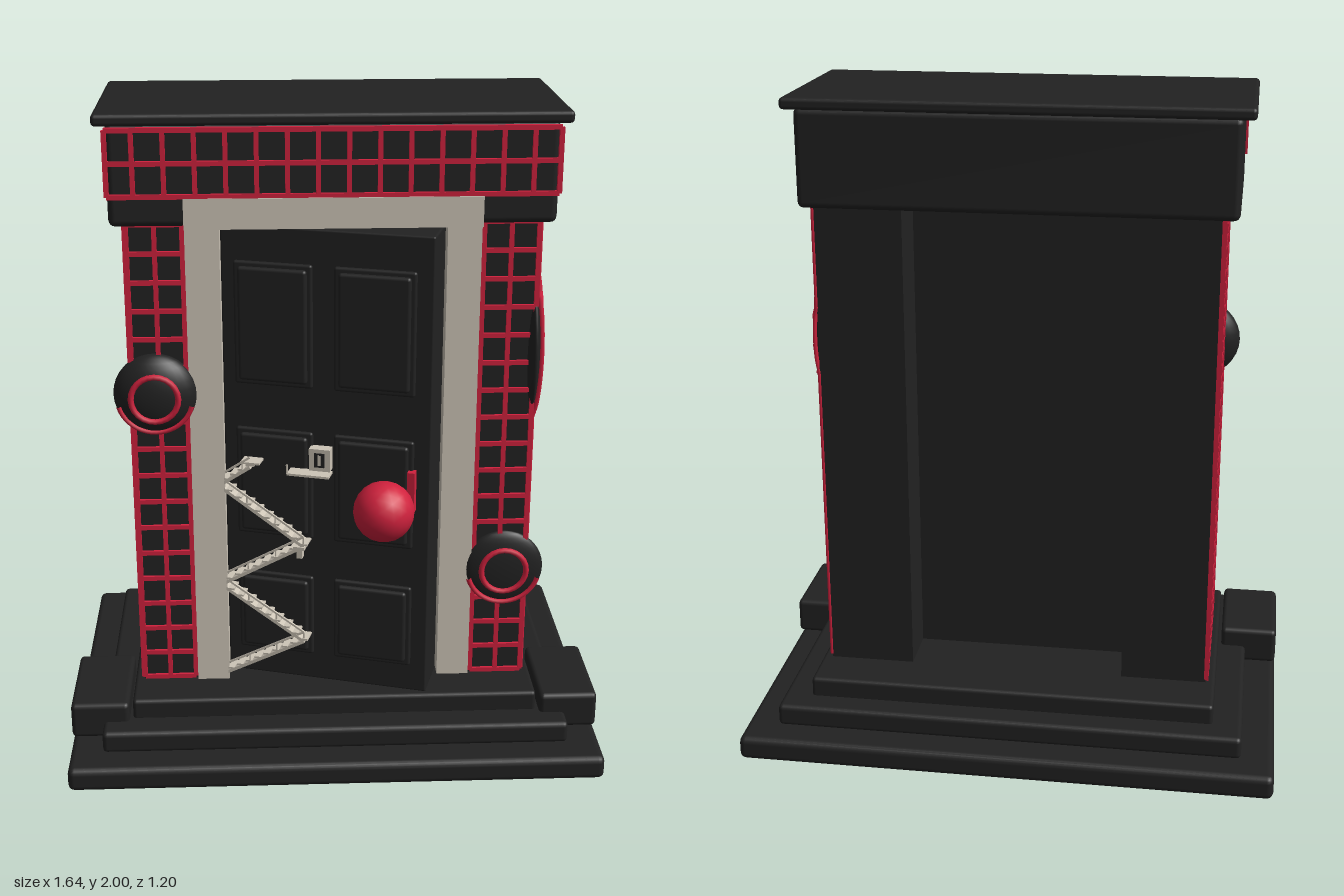
import * as THREE from 'three';
import { RoundedBoxGeometry } from 'three/addons/geometries/RoundedBoxGeometry.js';

const black = new THREE.MeshStandardMaterial({ color: 0x222222 });
black.name = 'black stone';
const red = new THREE.MeshStandardMaterial({ color: 0xd0213d });
red.name = 'red mortar';
const cream = new THREE.MeshStandardMaterial({ color: 0xcdc5b7 });
cream.name = 'cream trim';

function add(parent, name, geometry, material, x = 0, y = 0, z = 0) {
  const mesh = new THREE.Mesh(geometry, material);
  mesh.name = name;
  mesh.position.set(x, y, z);
  parent.add(mesh);
  return mesh;
}

// Box given by its limits on each axis; bevel rounds the edges
function block(parent, name, material, [x0, x1], [y0, y1], [z0, z1], bevel = 0) {
  const size = [x1 - x0, y1 - y0, z1 - z0];
  const geometry = bevel ? new RoundedBoxGeometry(...size, 2, bevel) : new THREE.BoxGeometry(...size);
  return add(parent, name, geometry, material, (x0 + x1) / 2, (y0 + y1) / 2, (z0 + z1) / 2);
}

// Thin bar between two points in a plane of constant z
function bar(parent, name, material, a, b, z, thick, depth) {
  const dx = b[0] - a[0], dy = b[1] - a[1];
  const mesh = add(parent, name, new THREE.BoxGeometry(Math.hypot(dx, dy), thick, depth), material,
    (a[0] + b[0]) / 2, (a[1] + b[1]) / 2, z);
  mesh.rotation.z = Math.atan2(dy, dx);
}

const spread = (from, to, n) => Array.from({ length: n + 1 }, (_, i) => from + (to - from) * i / n);
const LINE = 0.014;
const rows = spread(0.21, 1.68, 17);
const columns = spread(-0.265, 0.255, 6);

// Flat mortar grid facing +z
function flatGrid(parent, name, xs, ys, z) {
  const g = new THREE.Group();
  g.name = name;
  const x0 = xs[0], x1 = xs[xs.length - 1], y0 = ys[0], y1 = ys[ys.length - 1];
  xs.forEach(x => bar(g, 'mortarUpright', red, [x, y0], [x, y1], z, LINE, LINE));
  ys.forEach(y => bar(g, 'mortarCourse', red, [x0, y], [x1, y], z, LINE, LINE));
  parent.add(g);
  return g;
}

// Mortar grid on the right wall, pushed outward around a round bulge
const EYE = { z: 0.02, y: 1.27, r: 0.3, hole: 0.155, depth: 0.033 };
function warpedGrid(parent) {
  const g = new THREE.Group();
  g.name = 'rightWallMortar';
  const warp = (z, y) => {
    const dz = z - EYE.z, dy = y - EYE.y, r = Math.hypot(dz, dy);
    if (r < 0.05) return null;
    if (r >= EYE.r) return new THREE.Vector3(0.602, y, z);
    const out = EYE.hole + (EYE.r - EYE.hole) * Math.pow(r / EYE.r, 1.5);
    const lift = EYE.depth * Math.sqrt(Math.max(0, 1 - (out / EYE.r) ** 2));
    return new THREE.Vector3(0.602 + lift, EYE.y + dy / r * out, EYE.z + dz / r * out);
  };
  const trace = points => {
    let run = [];
    for (const p of [...points, null]) {
      if (p) { run.push(p); continue; }
      if (run.length > 1) {
        const curve = new THREE.CatmullRomCurve3(run);
        add(g, 'mortarLine', new THREE.TubeGeometry(curve, run.length * 2, LINE / 2, 5), red);
      }
      run = [];
    }
  };
  columns.forEach(z => trace(spread(0.21, 1.68, 80).map(y => warp(z, y))));
  rows.forEach(y => trace(spread(-0.265, 0.255, 40).map(z => warp(z, y))));
  for (const r of [0.135, 0.165]) {
    const lift = EYE.depth * Math.sqrt(1 - (r / EYE.r) ** 2);
    const ring = add(g, 'bulgeRing', new THREE.TorusGeometry(r, 0.008, 6, 20), red, 0.602 + lift, EYE.y, EYE.z);
    ring.rotation.y = Math.PI / 2;
  }
  parent.add(g);
}

// Round swelling on the front of a pillar, with its red rings
function frontBulge(parent, name, x, y, depth) {
  const g = new THREE.Group();
  g.name = name;
  g.position.set(x, y, 0.26);
  add(g, 'dome', new THREE.SphereGeometry(0.125, 28, 16), black).scale.z = depth / 0.125;
  const onDome = r => depth * Math.sqrt(1 - (r / 0.125) ** 2) + 0.003;
  add(g, 'innerRing', new THREE.TorusGeometry(0.07, 0.009, 6, 24), red, 0, 0, onDome(0.07));
  const arc = add(g, 'outerArc', new THREE.TorusGeometry(0.112, 0.008, 6, 20, 2.6), red, 0, 0, onDome(0.112));
  arc.rotation.z = Math.PI + 0.27;
  parent.add(g);
}

function buildBase(parent) {
  block(parent, 'groundSlab', black, [-0.82, 0.82], [0, 0.075], [-0.6, 0.59], 0.02);
  block(parent, 'middleStep', black, [-0.72, 0.72], [0.07, 0.14], [-0.5, 0.49], 0.015);
  block(parent, 'topStep', black, [-0.63, 0.63], [0.13, 0.2], [-0.42, 0.4], 0.012);
  for (const s of [-1, 1]) {
    const xs = [0.64 * s, 0.82 * s].sort((a, b) => a - b);
    block(parent, 'cornerStone', black, xs, [0.085, 0.2], [0.1, 0.42], 0.015);
  }
}

function buildWalls(parent) {
  for (const s of [-1, 1]) {
    const range = (a, b) => [a * s, b * s].sort((m, n) => m - n);
    block(parent, 'pillar', black, range(0.335, 0.6), [0.19, 1.69], [-0.27, 0.26]);
    block(parent, 'doorJamb', cream, range(0.33, 0.43), [0.2, 1.7], [0.14, 0.272]);
    flatGrid(parent, 'frontMortar', range(0.437, 0.597).concat(0.517 * s).sort((m, n) => m - n), rows, 0.262);
  }
  block(parent, 'backPanel', black, [-0.34, 0.34], [0.19, 1.69], [-0.11, -0.08]);
  const left = flatGrid(parent, 'leftWallMortar', columns, rows, 0.602);
  left.rotation.y = -Math.PI / 2;
  add(parent, 'wallBulge', new THREE.SphereGeometry(EYE.r, 40, 24), black, 0.598, EYE.y, EYE.z)
    .scale.set(EYE.depth / EYE.r, 1, 0.97);
  warpedGrid(parent);
  frontBulge(parent, 'leftPillarBulge', -0.53, 1.165, 0.065);
  frontBulge(parent, 'rightPillarBulge', 0.53, 0.57, 0.032);
}

function buildLintel(parent) {
  block(parent, 'lintel', black, [-0.645, 0.645], [1.675, 1.97], [-0.285, 0.28], 0.02);
  block(parent, 'doorHeader', cream, [-0.43, 0.43], [1.67, 1.76], [0.14, 0.293]);
  block(parent, 'roofCap', black, [-0.68, 0.68], [1.965, 2], [-0.3, 0.29], 0.012);
  flatGrid(parent, 'lintelMortar', [-0.645, ...spread(-0.57, 0.57, 13), 0.645], [1.765, 1.86, 1.955], 0.283);
}

// Zigzag of tiny stairs climbing the door
function buildStairs(door) {
  const g = new THREE.Group();
  g.name = 'tinyStairs';
  const stops = [[0.0, 0.215], [0.265, 0.365], [0.0, 0.53], [0.265, 0.69], [0.0, 0.865], [0.1, 0.935]];
  for (let i = 0; i < stops.length - 1; i++) {
    const [a, b] = [stops[i], stops[i + 1]];
    bar(g, 'flight', cream, a, b, 0.045, 0.01, 0.05);
    bar(g, 'handrail', cream, [a[0], a[1] + 0.032], [b[0], b[1] + 0.032], 0.066, 0.006, 0.006);
    const count = i === 4 ? 4 : 9;
    for (let k = 0; k <= count; k++) {
      const x = a[0] + (b[0] - a[0]) * k / count, y = a[1] + (b[1] - a[1]) * k / count;
      bar(g, 'tread', cream, [x - 0.013, y + 0.007], [x + 0.013, y + 0.007], 0.045, 0.006, 0.05);
      if (k % 3 === 0) bar(g, 'post', cream, [x, y], [x, y + 0.032], 0.066, 0.004, 0.004);
    }
  }
  bar(g, 'turnLanding', cream, [0.235, 0.685], [0.27, 0.685], 0.045, 0.01, 0.06);
  bar(g, 'landingLeg', cream, [0.25, 0.645], [0.25, 0.685], 0.05, 0.018, 0.02);
  bar(g, 'upperLanding', cream, [0.07, 0.948], [0.13, 0.948], 0.045, 0.006, 0.05);
  bar(g, 'balcony', cream, [0.215, 0.925], [0.345, 0.925], 0.045, 0.007, 0.05);
  bar(g, 'balconyPost', cream, [0.215, 0.925], [0.215, 0.955], 0.066, 0.005, 0.005);
  // Tiny door at the top of the stairs
  block(g, 'tinyDoorFrame', cream, [0.275, 0.34], [0.93, 1.0], [0, 0.035]);
  block(g, 'tinyDoor', black, [0.292, 0.323], [0.943, 0.988], [0.034, 0.038]);
  block(g, 'tinyDoorStripe', cream, [0.303, 0.312], [0.95, 0.982], [0.037, 0.041]);
  door.add(g);
}

// Thick door standing slightly ajar, hinged at its left edge
function buildDoor(parent) {
  const door = new THREE.Group();
  door.name = 'door';
  door.position.set(-0.33, 0, 0.2);
  door.rotation.y = -0.29;
  block(door, 'doorSlab', black, [0, 0.64], [0.2, 1.665], [-0.16, 0], 0.006);
  for (const [x0, x1] of [[0.04, 0.28], [0.345, 0.59]]) {
    for (const ys of [[0.29, 0.56], [0.69, 1.04], [1.18, 1.56]]) {
      block(door, 'panelMoulding', black, [x0, x1], ys, [-0.01, 0.01], 0.008);
      block(door, 'raisedPanel', black, [x0 + 0.015, x1 - 0.015], [ys[0] + 0.015, ys[1] - 0.015], [0, 0.022], 0.01);
    }
  }
  block(door, 'lockPlate', red, [0.575, 0.598], [0.82, 0.95], [0, 0.03]);
  const stem = add(door, 'knobStem', new THREE.CylinderGeometry(0.022, 0.026, 0.14, 12), red, 0.535, 0.88, 0.075);
  stem.rotation.x = Math.PI / 2;
  const ball = new THREE.IcosahedronGeometry(0.09, 3);
  add(door, 'knob', ball, red, 0.535, 0.88, 0.165);
  buildStairs(door);
  parent.add(door);
}

export function createModel() {
  const model = new THREE.Group();
  model.name = 'doorway';
  buildBase(model);
  buildWalls(model);
  buildLintel(model);
  buildDoor(model);
  return model;
}
